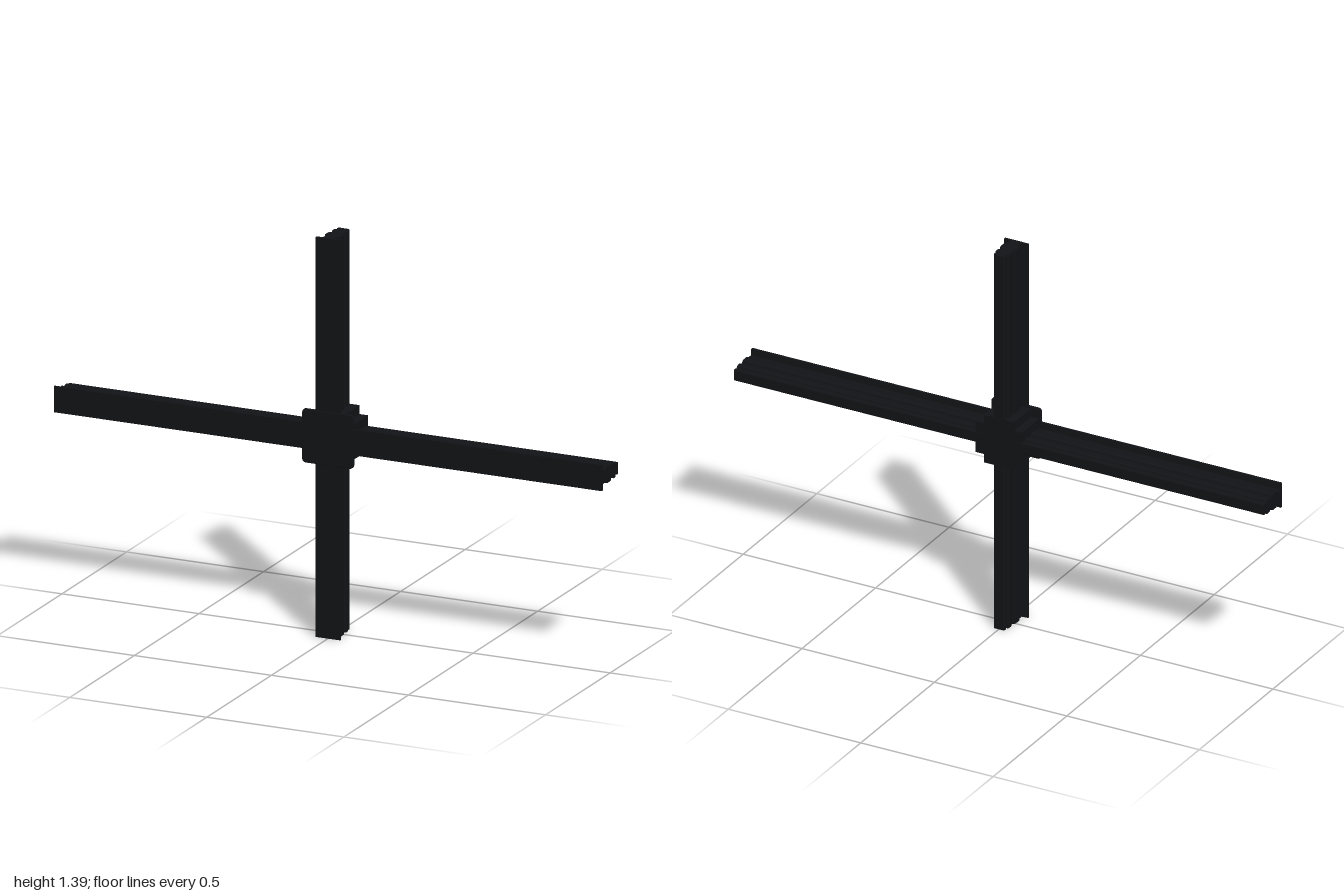
import * as THREE from 'three';

const material = new THREE.MeshStandardMaterial({ color: 0x111316, flatShading: true });
const CENTRE_Y = 0.693;

// Half of the bar section as [half width, depth], from front flange to back ridge
const HALF_PROFILE = [
  [0.045, 0.063], [0.045, 0.055], [0.022, 0.053], [0.022, 0.032],
  [0.027, 0.029], [0.029, 0.022], [0.029, 0.002], [0.027, -0.005],
  [0.02, -0.007], [0.02, -0.017], [0.024, -0.02], [0.026, -0.026],
  [0.026, -0.036], [0.024, -0.042], [0.018, -0.044], [0.018, -0.05],
  [0.021, -0.053], [0.021, -0.059], [0.017, -0.063],
];

function shapeFrom(points) {
  return new THREE.Shape(points.map(([x, y]) => new THREE.Vector2(x, y)));
}

function extrude(shape, depth, bevel = 0) {
  return new THREE.ExtrudeGeometry(shape, {
    depth, curveSegments: 6, bevelEnabled: bevel > 0,
    bevelThickness: bevel, bevelSize: bevel, bevelOffset: -bevel, bevelSegments: 2,
  });
}

// Moulded bar standing along y, centred on the origin
function barGeometry(length) {
  const mirrored = HALF_PROFILE.map(([x, z]) => [-x, z]).reverse();
  const outline = [...HALF_PROFILE, ...mirrored].map(([x, z]) => [x, -z]);
  const geometry = extrude(shapeFrom(outline), length);
  geometry.rotateX(-Math.PI / 2);
  geometry.translate(0, -length / 2, 0);
  return geometry;
}

// Square outline with rounded corners
function roundedSquare(half, radius) {
  const shape = new THREE.Shape();
  const c = half - radius;
  shape.absarc(c, c, radius, 0, Math.PI / 2);
  shape.absarc(-c, c, radius, Math.PI / 2, Math.PI);
  shape.absarc(-c, -c, radius, Math.PI, Math.PI * 1.5);
  shape.absarc(c, -c, radius, Math.PI * 1.5, Math.PI * 2);
  return shape;
}

// Plus outline with arms of the given reach and half width
function plusShape(reach, w) {
  const points = [];
  for (let i = 0; i < 4; i++) {
    const cos = Math.round(Math.cos(i * Math.PI / 2));
    const sin = Math.round(Math.sin(i * Math.PI / 2));
    for (const [x, y] of [[reach, -w], [reach, w], [w, w]]) {
      points.push([x * cos - y * sin, x * sin + y * cos]);
    }
  }
  return shapeFrom(points);
}

export function createModel() {
  const model = new THREE.Group();
  model.name = 'crossBars';

  const add = (name, geometry, y, z = 0) => {
    const mesh = new THREE.Mesh(geometry, material);
    mesh.name = name;
    mesh.position.set(0, y, z);
    model.add(mesh);
    return mesh;
  };

  // Crossing bars
  add('verticalBar', barGeometry(1.386), CENTRE_Y);
  add('horizontalBar', barGeometry(2), CENTRE_Y).rotation.z = Math.PI / 2;

  // Connector: front plate and the plus-shaped sleeve behind it
  const connector = new THREE.Group();
  connector.name = 'connector';
  connector.add(
    add('connectorPlate', extrude(roundedSquare(0.093, 0.012), 0.008, 0.002), CENTRE_Y, 0.056),
    add('connectorSleeve', extrude(plusShape(0.088, 0.057), 0.12), CENTRE_Y, -0.062),
  );
  model.add(connector);

  return model;
}
